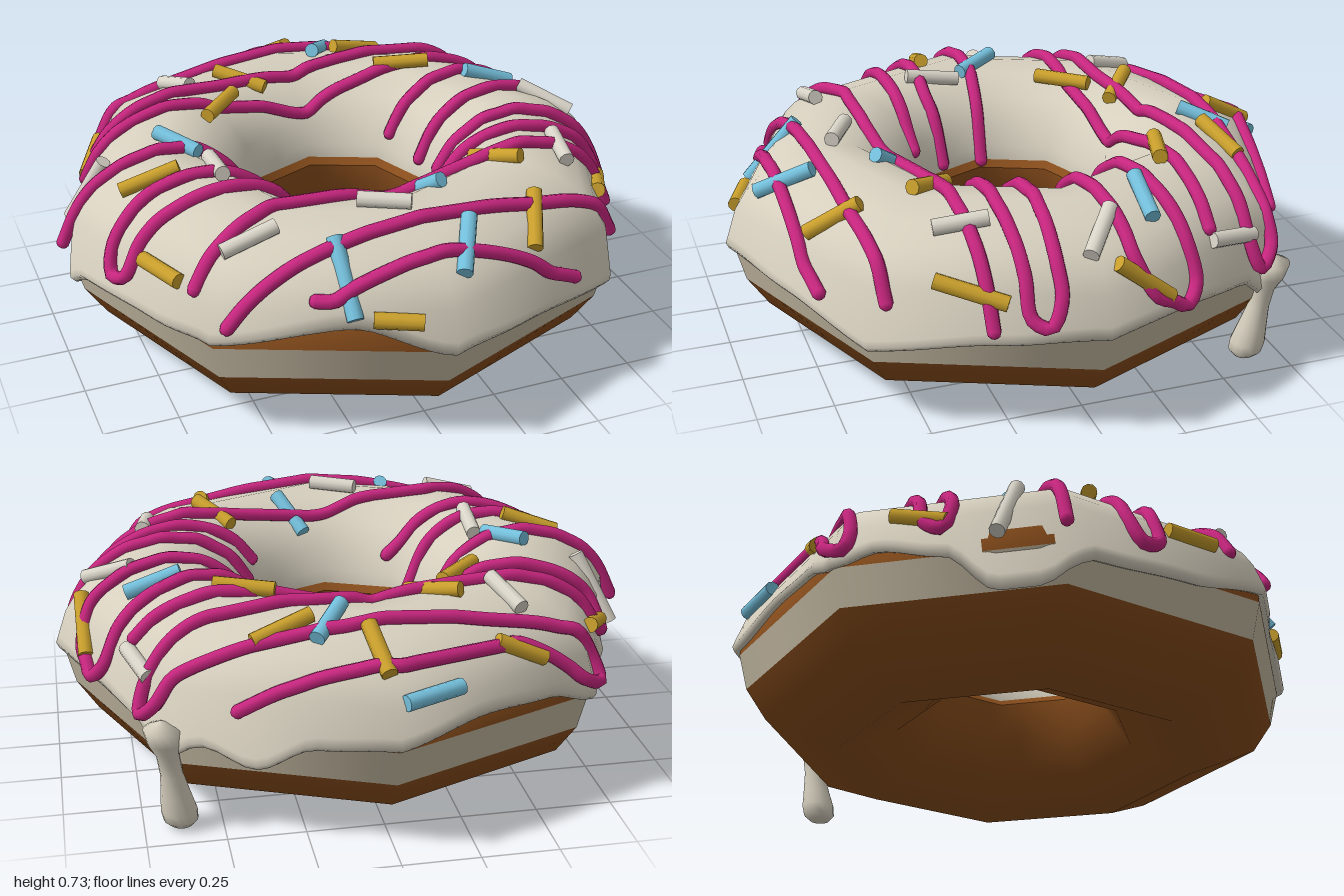
import * as THREE from 'three';

const mat = (name, color, side = THREE.FrontSide) => {
  const m = new THREE.MeshStandardMaterial({ color, side });
  m.name = name;
  return m;
};

// Radius factor that turns a circle into an eight-sided ring, corners on the axes
const octagon = (a) => {
  const step = Math.PI / 4;
  const t = ((a % step) + step) % step;
  return Math.cos(step / 2) / Math.cos(t - step / 2);
};

// Piecewise interpolation through [key, value] pairs, optionally eased
const lookup = (table, k, ease = false) => {
  if (k <= table[0][0]) return table[0][1];
  for (let i = 1; i < table.length; i++) {
    const [k0, v0] = table[i - 1], [k1, v1] = table[i];
    if (k <= k1) {
      let t = (k - k0) / (k1 - k0);
      if (ease) t = t * t * (3 - 2 * t);
      return v0 + (v1 - v0) * t;
    }
  }
  return table[table.length - 1][1];
};

// Lathe pressed into the eight-sided plan; rule(row, angle) may replace a profile point
function ring(profile, material, name, rule) {
  const segs = 144;
  const g = new THREE.LatheGeometry(profile.map(([r, y]) => new THREE.Vector2(r, y)), segs);
  const p = g.attributes.position;
  for (let i = 0; i <= segs; i++) {
    const a = (i / segs) * Math.PI * 2, f = octagon(a);
    profile.forEach((pt, j) => {
      const [r, y] = (rule && rule(j, a)) || pt;
      p.setXYZ(i * profile.length + j, r * f * Math.sin(a), y, r * f * Math.cos(a));
    });
  }
  const mesh = new THREE.Mesh(g, material);
  mesh.name = name;
  return mesh;
}

// Outer dough wall: height to radius
const WALL = [[0.13, 0.86], [0.235, 0.925], [0.36, 0.957], [0.43, 0.95], [0.52, 0.9]];
// Icing surface above its lip
const ICING = [[0.945, 0.5], [0.91, 0.555], [0.86, 0.605], [0.77, 0.655], [0.65, 0.685], [0.53, 0.67],
  [0.43, 0.61], [0.37, 0.53], [0.34, 0.45], [0.325, 0.39], [0.335, 0.372], [0.36, 0.37]];
// Icing lip: angle in degrees (0 = front, 90 = left) to height
const LIP = [[0, 0.36], [19, 0.33], [45, 0.29], [70, 0.33], [90, 0.365], [108, 0.36], [126, 0.34], [134, 0.26],
  [142, 0.32], [152, 0.25], [165, 0.35], [180, 0.37], [200, 0.41], [215, 0.4], [225, 0.35], [233, 0.39],
  [246, 0.35], [257, 0.23], [265, 0.23], [276, 0.32], [298, 0.34], [315, 0.38], [342, 0.44], [360, 0.36]];

// Height of the icing top under a point in plan
const HEIGHT = [[0.325, 0.39], [0.34, 0.45], [0.37, 0.53], [0.43, 0.61], [0.53, 0.67], [0.65, 0.685],
  [0.77, 0.655], [0.86, 0.605], [0.91, 0.555], [0.945, 0.5], [0.985, 0.41], [1.01, 0.35]];
const onIcing = (x, z, lift) =>
  new THREE.Vector3(x, lookup(HEIGHT, Math.hypot(x, z) / octagon(Math.atan2(x, z))) + lift, z);

// Drizzle paths in plan, as [x, z]
const DRIZZLE = [
  [[0.46, -0.78], [-0.02, -0.865], [-0.42, -0.72], [-0.65, -0.71], [-0.72, -0.66], [-0.7, -0.635], [-0.33, -0.67],
    [0.12, -0.7], [0.7, -0.665], [0.745, -0.61], [0.72, -0.575], [0.58, -0.55], [0.18, -0.52], [-0.3, -0.45], [-0.78, -0.42],
    [-0.82, -0.37], [-0.78, -0.33], [-0.4, -0.34], [0.07, -0.385], [0.74, -0.42]],
  [[0.27, -0.21], [0.55, -0.26], [0.84, -0.335], [0.88, -0.29], [0.9, -0.18], [0.86, -0.115], [0.6, -0.08], [0.32, -0.055]],
  [[0.31, 0.125], [0.6, 0.115], [0.9, 0.13], [0.92, 0.17], [0.89, 0.22], [0.6, 0.235], [0.28, 0.235]],
  [[0.86, 0.33], [0.44, 0.36], [-0.14, 0.46], [-0.41, 0.47], [-0.7, 0.58]],
  [[0.71, 0.62], [0.4, 0.655], [0, 0.685], [-0.3, 0.69], [-0.64, 0.71]],
  [[0.5, 0.78], [0.4, 0.8], [-0.04, 0.82], [-0.33, 0.8], [-0.38, 0.78]],
  [[-0.98, -0.01], [-0.52, -0.03], [-0.32, -0.01]],
  [[-0.27, 0.15], [-0.41, 0.175], [-0.73, 0.18], [-0.86, 0.21], [-0.88, 0.25], [-0.85, 0.305], [-0.5, 0.3], [-0.22, 0.27]],
];

// Sprinkle ends in plan: x1, z1, x2, z2
const SPRINKLES = {
  blue: [[-0.21, -0.86, -0.02, -0.94], [0.11, -0.59, 0.21, -0.73], [-0.61, -0.14, -0.51, 0.01], [0.57, -0.23, 0.75, -0.22],
    [0.07, 0.37, 0.15, 0.5], [-0.28, 0.67, -0.28, 0.85], [0.06, 0.88, 0.15, 0.71]],
  yellow: [[-0.51, -0.73, -0.35, -0.74], [0.02, -0.89, 0.05, -0.72], [0.21, -0.63, 0.4, -0.68], [-0.82, -0.35, -0.73, -0.51],
    [-0.4, -0.25, -0.26, -0.4], [-0.28, -0.55, -0.13, -0.43], [0.29, -0.42, 0.48, -0.36], [-0.8, 0.1, -0.61, 0.13],
    [-0.8, 0.35, -0.73, 0.52], [0.34, 0.32, 0.45, 0.46], [0.74, 0.48, 0.85, 0.28], [0.35, 0.78, 0.42, 0.62],
    [-0.23, 0.87, -0.09, 0.93], [0.89, -0.23, 0.89, -0.05]],
  cream: [[-0.46, -0.62, -0.4, -0.46], [-0.91, -0.21, -0.8, -0.13], [-0.48, 0.03, -0.49, 0.22], [-0.61, 0.58, -0.43, 0.57],
    [-0.15, 0.53, 0, 0.61], [0.63, 0.45, 0.66, 0.28], [0.72, -0.09, 0.87, 0.03], [0.71, -0.59, 0.765, -0.42]],
};

export function createModel() {
  const model = new THREE.Group();
  model.name = 'frostedRing';
  const dough = mat('brown dough', 0x8a4e1c, THREE.DoubleSide);
  const pale = mat('pale band', 0xc4b9a2, THREE.DoubleSide);
  const icing = mat('cream icing', 0xd6cfbe, THREE.DoubleSide);
  const pink = mat('pink drizzle', 0xc8267f);
  const tints = {
    blue: mat('blue sprinkle', 0x74bfdb),
    yellow: mat('yellow sprinkle', 0xc99f2c),
    cream: mat('cream sprinkle', 0xd9d4c8),
  };

  // Dough: lower half, pale waist and hidden upper half
  model.add(ring([[0.31, 0.38], [0.325, 0.25], [0.41, 0.12], [0.62, 0.03], [0.855, 0.13], [0.925, 0.235]], dough, 'lowerDough'));
  model.add(ring([[0.925, 0.235], [0.957, 0.36]], pale, 'paleBand'));
  model.add(ring([[0.957, 0.36], [0.95, 0.43], [0.9, 0.52], [0.65, 0.63], [0.42, 0.54], [0.34, 0.42], [0.31, 0.38]], dough, 'upperDough'));

  // Icing with a wavy rolled lip
  const lipRows = [[-0.01, 0.012], [0.018, 0], [0.03, 0.02], [0.024, 0.045]];
  const base = lipRows.map(([dr, dy]) => [0.957 + dr, 0.36 + dy]);
  model.add(ring([...base, ...ICING], icing, 'icing', (row, a) => {
    if (row >= lipRows.length) return null;
    const e = lookup(LIP, THREE.MathUtils.radToDeg(a), true);
    const [dr, dy] = lipRows[row];
    return [lookup(WALL, e + dy) + dr, e + dy];
  }));

  // Long drip hanging off the back left corner, leaning inward as it falls
  const drop = [[0, 0], [0.035, 0.004], [0.055, 0.025], [0.058, 0.06], [0.048, 0.12], [0.036, 0.2], [0.036, 0.27], [0.055, 0.32], [0.06, 0.37], [0, 0.4]];
  const dripGeo = new THREE.LatheGeometry(drop.map(([r, y]) => new THREE.Vector2(r, y)), 16);
  const dp = dripGeo.attributes.position;
  for (let i = 0; i < dp.count; i++) {
    const y = dp.getY(i);
    dp.setX(i, dp.getX(i) + 0.63 + y * 0.14);
    dp.setZ(i, dp.getZ(i) - 0.63 - y * 0.14);
  }
  dripGeo.computeVertexNormals();
  const drip = new THREE.Mesh(dripGeo, icing);
  drip.name = 'longDrip';
  model.add(drip);

  // Drizzle strands draped over the icing
  const drizzle = new THREE.Group();
  drizzle.name = 'drizzle';
  for (const path of DRIZZLE) {
    const pts = [];
    path.forEach(([x, z], i) => {
      if (i) {
        const [px, pz] = path[i - 1];
        const n = Math.max(1, Math.round(Math.hypot(x - px, z - pz) / 0.06));
        for (let k = 1; k < n; k++) pts.push(onIcing(px + (x - px) * k / n, pz + (z - pz) * k / n, 0.012));
      }
      pts.push(onIcing(x, z, 0.012));
    });
    const strand = new THREE.Mesh(new THREE.TubeGeometry(new THREE.CatmullRomCurve3(pts), pts.length * 3, 0.023, 8), pink);
    strand.name = 'strand';
    drizzle.add(strand);
    for (const end of [pts[0], pts[pts.length - 1]]) {
      const cap = new THREE.Mesh(new THREE.SphereGeometry(0.023, 8, 6), pink);
      cap.name = 'strandEnd';
      cap.position.copy(end);
      drizzle.add(cap);
    }
  }
  model.add(drizzle);

  // Sprinkles resting on the icing
  const sprinkles = new THREE.Group();
  sprinkles.name = 'sprinkles';
  for (const [tint, list] of Object.entries(SPRINKLES)) {
    for (const [x1, z1, x2, z2] of list) {
      const a = onIcing(x1, z1, 0.022), b = onIcing(x2, z2, 0.022);
      const s = new THREE.Mesh(new THREE.CylinderGeometry(0.026, 0.026, a.distanceTo(b), 10), tints[tint]);
      s.name = tint + 'Sprinkle';
      s.position.copy(a).add(b).multiplyScalar(0.5);
      s.quaternion.setFromUnitVectors(new THREE.Vector3(0, 1, 0), b.sub(a).normalize());
      sprinkles.add(s);
    }
  }
  model.add(sprinkles);
  return model;
}
